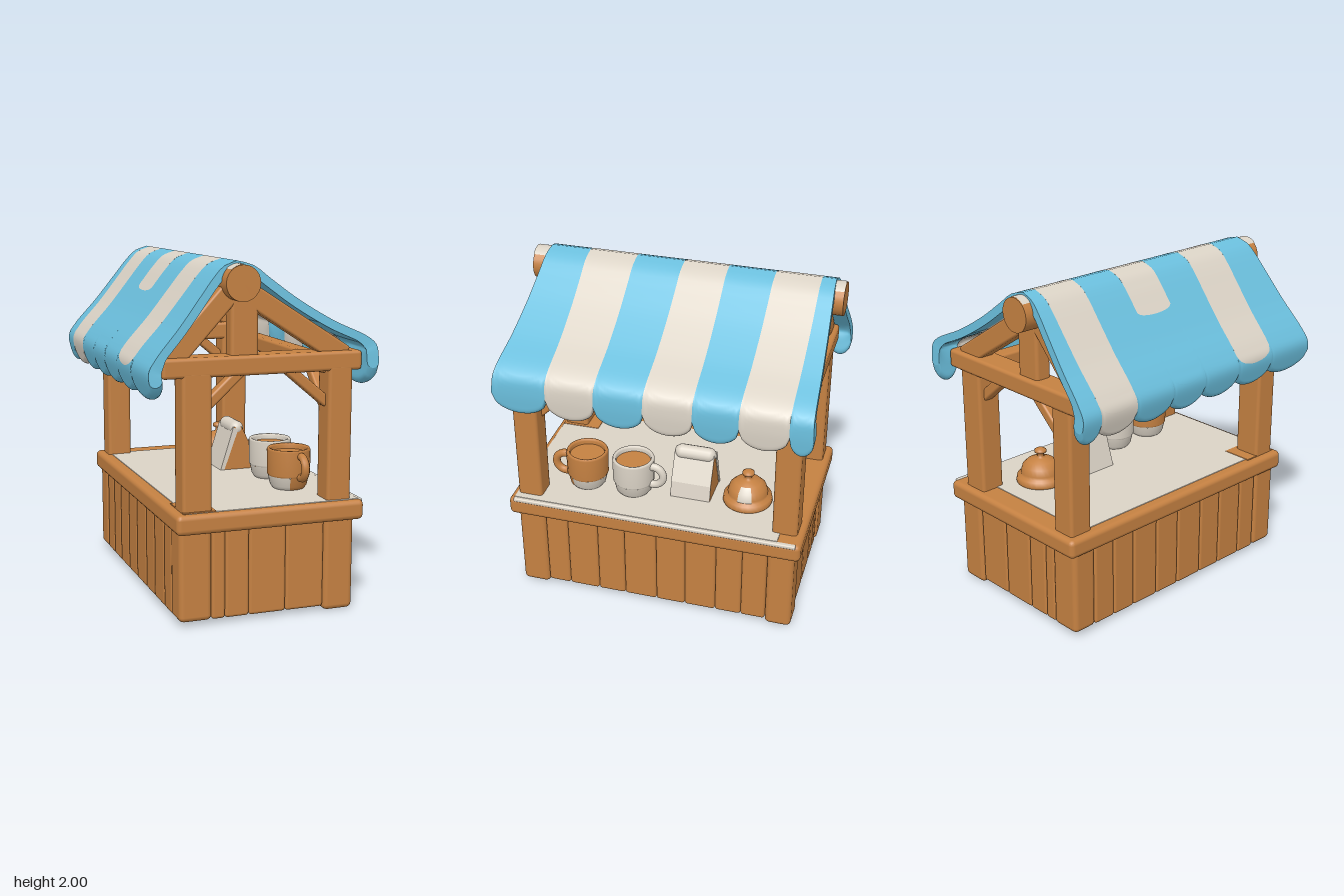
import * as THREE from 'three';
import { RoundedBoxGeometry } from 'three/addons/geometries/RoundedBoxGeometry.js';

const paint = (name, color) => {
  const m = new THREE.MeshStandardMaterial({ color });
  m.name = name;
  return m;
};

export function createModel() {
  const model = new THREE.Group();
  model.name = 'marketStall';
  const wood = paint('wood', 0xc58142);
  const blue = paint('blueCloth', 0x6bbfdd);
  const cream = paint('cream', 0xdbd3c6);

  const add = (name, geo, mat, x = 0, y = 0, z = 0) => {
    const m = new THREE.Mesh(geo, mat);
    m.name = name;
    m.position.set(x, y, z);
    model.add(m);
    return m;
  };
  // Rounded block given by its limits on each axis
  const block = (name, mat, [x0, x1], [y0, y1], [z0, z1], r = 0.015) =>
    add(name, new RoundedBoxGeometry(x1 - x0, y1 - y0, z1 - z0, 2, r), mat,
      (x0 + x1) / 2, (y0 + y1) / 2, (z0 + z1) / 2);
  // Timber running from point a to point b
  const beam = (name, a, b, w, h) => {
    const p = new THREE.Vector3(...a), q = new THREE.Vector3(...b);
    const m = add(name, new RoundedBoxGeometry(w, h, p.distanceTo(q), 2, 0.014), wood);
    m.position.copy(p).add(q).multiplyScalar(0.5);
    m.lookAt(q);
  };

  // Base: core, corner feet and planks
  block('baseCore', wood, [-0.45, 0.53], [0.05, 0.56], [-0.81, 0.84]);
  for (const x of [[-0.48, -0.29], [0.38, 0.56]])
    for (const z of [[0.7, 0.87], [-0.84, -0.68]])
      block('cornerFoot', wood, x, [x[0] > 0 ? 0.005 : 0.03, 0.56], z, 0.03);
  const ends = [-0.29, -0.21, -0.07, 0.15, 0.38];
  for (let i = 0; i < 4; i++)
    for (const z of [[0.79, 0.86], [-0.83, -0.76]])
      block('endPlank', wood, [ends[i], ends[i + 1]], [0.03, 0.56], z, 0.018);
  const sides = [0.7, 0.56, 0.37, 0.2, 0, -0.18, -0.37, -0.53, -0.68];
  for (let i = 0; i < 8; i++)
    for (const x of [[-0.475, -0.4], [0.48, 0.555]])
      block('sidePlank', wood, x, [0.03, 0.56], [sides[i + 1], sides[i]], 0.018);

  // Counter with a pale painted top, worn at one corner
  block('counter', wood, [-0.505, 0.603], [0.535, 0.65], [-0.88, 0.912], 0.03);
  block('counterPaint', cream, [-0.44, 0.58], [0.646, 0.654], [-0.74, 0.88], 0.003);
  block('counterEdgePaint', cream, [0.575, 0.604], [0.628, 0.652], [-0.85, 0.88], 0.008);
  block('wornCorner', wood, [-0.46, -0.27], [0.649, 0.657], [0.64, 0.88], 0.003);

  // Uprights
  const posts = [
    [[-0.46, -0.29], [0.72, 0.87]], [[0.39, 0.535], [0.72, 0.87]],
    [[-0.46, -0.31], [-0.84, -0.69]], [[0.33, 0.5], [-0.84, -0.69]],
  ];
  for (const [x, z] of posts) block('post', wood, x, [0.6, 1.42], z, 0.02);

  // Gable trusses
  for (const z of [0.79, -0.77]) {
    block('tieBeam', wood, [-0.57, 0.59], [1.385, 1.495], [z - 0.08, z + 0.08], 0.02);
    block('kingPost', wood, [-0.175, -0.015], [1.45, 1.88], [z - 0.05, z + 0.05], 0.02);
    beam('rafter', [-0.17, 1.84, z], [-0.51, 1.47, z], 0.1, 0.12);
    beam('rafter', [-0.08, 1.83, z], [0.5, 1.46, z], 0.1, 0.12);
    beam('brace', [-0.33, 1.2, z], [-0.1, 1.41, z], 0.07, 0.06);
    beam('brace', [0.41, 1.2, z], [0.16, 1.41, z], 0.07, 0.06);
    const s = Math.sign(z);
    beam('sideBrace', [0.42, 1.18, z - s * 0.04], [0.42, 1.38, z - s * 0.25], 0.06, 0.06);
  }
  block('eaveBeam', wood, [0.36, 0.46], [1.37, 1.46], [-0.8, 0.82]);

  // Ridge log with pale paint on its ends
  add('ridgeLog', new THREE.CylinderGeometry(0.098, 0.098, 1.85, 24), wood, -0.135, 1.885, -0.005)
    .rotation.x = Math.PI / 2;
  for (const [z, len] of [[0.873, 0.1], [-0.885, 0.085]]) {
    const cap = new THREE.CylinderGeometry(0.101, 0.101, len, 12, 1, true, Math.PI - 0.75, 1.5);
    const m = add('logPaint', cap, cream, -0.135, 1.885, z);
    m.rotation.x = Math.PI / 2;
  }

  // Awning: each stripe is a thin box bent along the slope, ending in a rounded scallop
  const curve = pts => new THREE.CatmullRomCurve3(pts.map(p => new THREE.Vector3(p[0], p[1], 0)));
  const right = curve([[-0.14, 2], [-0.05, 1.975], [0.05, 1.9], [0.2, 1.79], [0.4, 1.67],
    [0.6, 1.575], [0.65, 1.53], [0.662, 1.45], [0.655, 1.295]]);
  const left = curve([[-0.14, 2], [-0.22, 1.97], [-0.28, 1.91], [-0.36, 1.81], [-0.48, 1.66],
    [-0.62, 1.5], [-0.66, 1.43], [-0.635, 1.265]]);
  const ridgeCuts = [0.83, 0.59, 0.3, 0.015, -0.25, -0.525, -0.79, -0.87];
  const rightCuts = [0.83, 0.605, 0.32, 0.035, -0.25, -0.51, -0.79, -0.87];
  const leftCuts = [0.83, 0.58, 0.29, 0.005, -0.25, -0.53, -0.79, -0.87];
  const { lerp, smoothstep } = THREE.MathUtils;
  const stripe = (path, side, cuts, i, outer, f0 = 0, f1 = 1, lining = outer) => {
    const geo = new THREE.BoxGeometry(1, 1, 1, 36, 1, 16);
    const pos = geo.attributes.position;
    const length = path.getLength();
    for (let k = 0; k < pos.count; k++) {
      const a = 0.5 + side * pos.getX(k);
      const f = f0 + (f1 - f0) * (1 - Math.max(0, 1 - a) ** 1.6);
      const s = 2 * pos.getZ(k);
      const drop = 0.09 * (1 - Math.sqrt(Math.max(0, 1 - s * s)));
      const u = Math.min(1, Math.max(0, f * (1 - drop)));
      let z = lerp(lerp(ridgeCuts[i + 1], cuts[i + 1], f), lerp(ridgeCuts[i], cuts[i], f), (s + 1) / 2);
      // The cloth flares outwards towards the eaves
      if (z > 0.605) z += (z - 0.605) / 0.225 * 0.1 * f;
      if (z < -0.79) z += (z + 0.79) / 0.08 * 0.055 * f;
      // Thicker in the flap, rounded off at the tip
      const thick = 0.048 + 0.024 * smoothstep(f, 0.75, 0.9);
      const h = thick / 2, e = Math.min(h, (1 - f) * length);
      const round = h - Math.sqrt(Math.max(0, h * h - (h - e) ** 2));
      const inset = pos.getY(k) > 0 ? round : thick - round;
      const p = path.getPointAt(u), t = path.getTangentAt(u);
      pos.setXYZ(k, p.x + side * t.y * inset, p.y - side * t.x * inset, z);
    }
    geo.computeVertexNormals();
    add('awningStripe', geo, [outer, outer, outer, lining, outer, outer]);
  };
  for (let i = 0; i < 7; i++) {
    stripe(right, 1, rightCuts, i, i % 2 ? cream : blue);
    if (i % 2 === 0) stripe(left, -1, leftCuts, i, blue);
  }
  // Pale stripes of the left slope, which stop short or have a blue lining
  stripe(left, -1, leftCuts, 1, cream, 0, 0.84);
  stripe(left, -1, leftCuts, 1, blue, 0.84, 1);
  stripe(left, -1, leftCuts, 3, cream, 0, 0.36);
  stripe(left, -1, leftCuts, 3, blue, 0.36, 0.82, cream);
  stripe(left, -1, leftCuts, 3, blue, 0.82, 1);
  stripe(left, -1, leftCuts, 5, cream, 0, 0.84);
  stripe(left, -1, leftCuts, 5, cream, 0.84, 1, blue);

  const lathe = (pts, ...arc) =>
    new THREE.LatheGeometry(pts.map(p => new THREE.Vector2(...p)), 28, ...arc);

  // Mugs with a pale foot, a drink and a handle along z
  const mug = (name, mat, z, dir) => {
    const x = 0.31, y = 0.65, foot = [[0, 0], [0.09, 0], [0.108, 0.025], [0.12, 0.08]];
    add(name + 'Foot', lathe(foot, 1, Math.PI * 2 - 1.3), cream, x, y, z);
    add(name + 'FootFront', lathe(foot, -0.3, 1.3), mat, x, y, z);
    add(name + 'Body', lathe([[0.12, 0.08], [0.126, 0.09], [0.128, 0.23], [0.122, 0.242],
      [0.11, 0.24], [0.105, 0.23], [0.105, 0.2]]), mat, x, y, z);
    add(name + 'Drink', new THREE.CylinderGeometry(0.107, 0.107, 0.01, 24), wood, x, y + 0.205, z);
    const h = add(name + 'Handle', new THREE.TorusGeometry(0.062, 0.024, 10, 20, Math.PI * 1.2), mat,
      x + 0.025, y + 0.145, z + dir * 0.13);
    h.rotation.set(0, dir > 0 ? -Math.PI / 2 : Math.PI / 2, 0);
    h.geometry.rotateZ(-Math.PI * 0.6);
  };
  mug('brownMug', wood, 0.5, 1);
  mug('paleMug', cream, 0.207, -1);

  // Paper bag with pale hems and a rolled top
  const slab = (name, pts, depth, z, mat) => add(name, new THREE.ExtrudeGeometry(
    new THREE.Shape(pts.map(p => new THREE.Vector2(...p))), { depth, bevelEnabled: false }), mat, 0, 0, z);
  slab('paperBag', [[0.08, 0.65], [0.32, 0.65], [0.3, 0.75], [0.215, 0.92], [0.165, 0.92]],
    0.245, -0.27, [wood, cream]);
  slab('bagHem', [[0.075, 0.65], [0.1, 0.65], [0.19, 0.9], [0.16, 0.92]], 0.253, -0.274, cream);
  add('bagRoll', new THREE.CapsuleGeometry(0.045, 0.165, 6, 14), cream, 0.193, 0.907, -0.148)
    .rotation.x = Math.PI / 2;

  // Service bell with a pale highlight plate
  add('bell', lathe([[0, 0], [0.145, 0], [0.15, 0.015], [0.145, 0.045], [0.12, 0.05], [0.122, 0.07],
    [0.11, 0.11], [0.08, 0.14], [0.035, 0.155], [0.02, 0.16], [0.018, 0.18], [0.036, 0.19],
    [0.036, 0.205], [0.02, 0.215], [0, 0.215]]), wood, 0.225, 0.65, -0.483);
  add('bellPaint', lathe([[0.125, 0.06], [0.126, 0.07], [0.114, 0.112], [0.083, 0.144]],
    Math.PI / 2 - 0.3, 0.7), cream, 0.225, 0.65, -0.483);

  return model;
}
